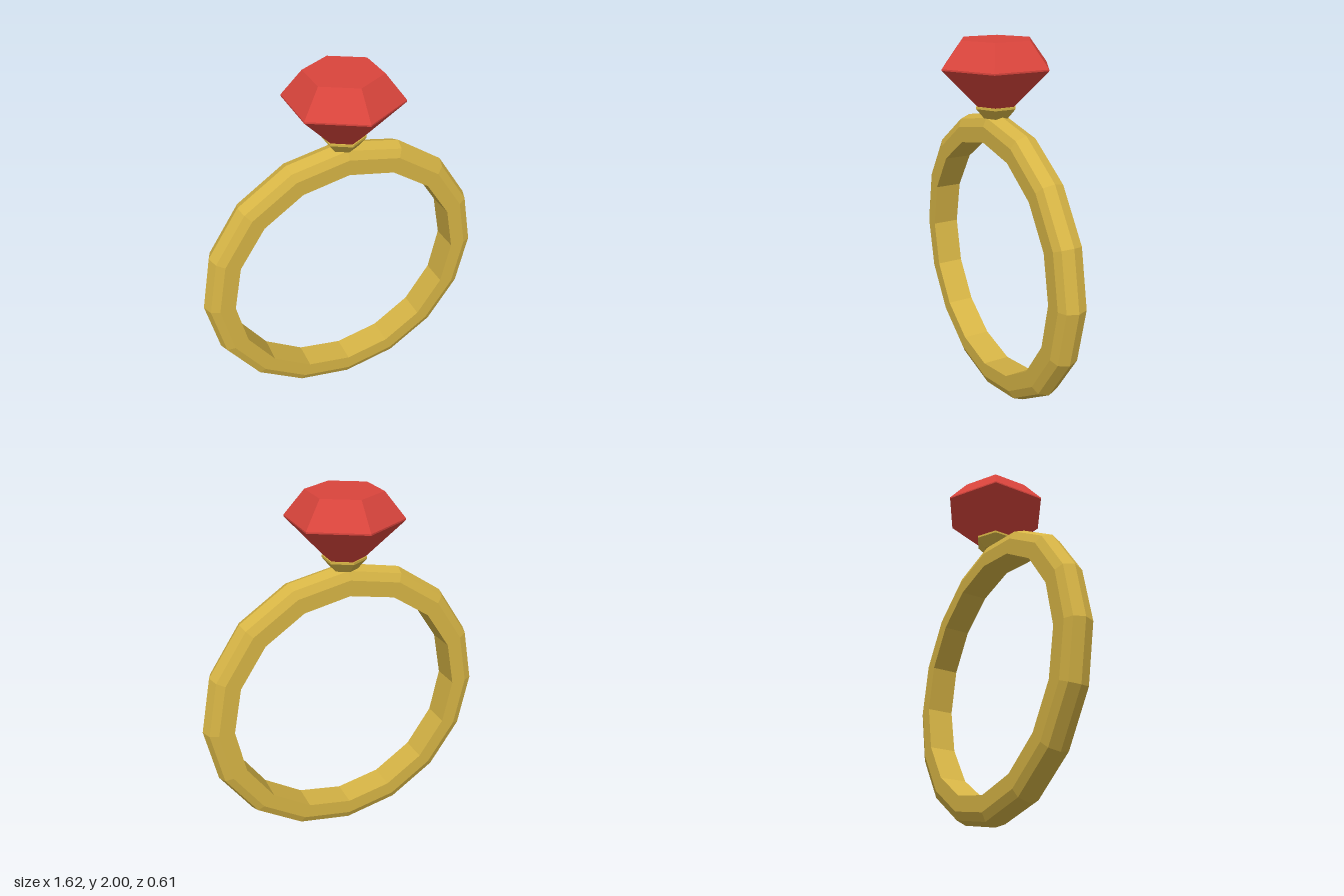
import * as THREE from 'three';

// Six-sided (or n-sided) turned solid from [radius, height] pairs
function turned(name, profile, sides, material) {
  const points = profile.map(([r, h]) => new THREE.Vector2(r, h));
  const mesh = new THREE.Mesh(new THREE.LatheGeometry(points, sides), material);
  mesh.name = name;
  return mesh;
}

export function createModel() {
  const group = new THREE.Group();
  group.name = 'ring';
  const gold = new THREE.MeshStandardMaterial({ color: 0xd6b445, flatShading: true });
  const red = new THREE.MeshStandardMaterial({ color: 0xd9443c, flatShading: true });

  // Band: flat inside and sides, rounded outer edge, 16 segments
  const band = turned('band', [
    [0.66, -0.077], [0.745, -0.077], [0.79, -0.057], [0.812, 0],
    [0.79, 0.057], [0.745, 0.077], [0.66, 0.077], [0.66, -0.077],
  ], 16, gold);
  band.rotation.x = Math.PI / 2;
  band.position.y = 0.812;

  // Setting: small flared hexagonal cup with a thin rim
  const setting = turned('setting', [
    [0, 1.6], [0.07, 1.6], [0.116, 1.653], [0.116, 1.665], [0, 1.665],
  ], 6, gold);

  // Gem: pavilion, thin girdle, crown and flat table
  const gem = turned('gem', [
    [0, 1.64], [0.083, 1.64], [0.305, 1.86], [0.305, 1.868], [0.197, 2], [0, 2],
  ], 6, red);

  group.add(band, setting, gem);
  return group;
}
